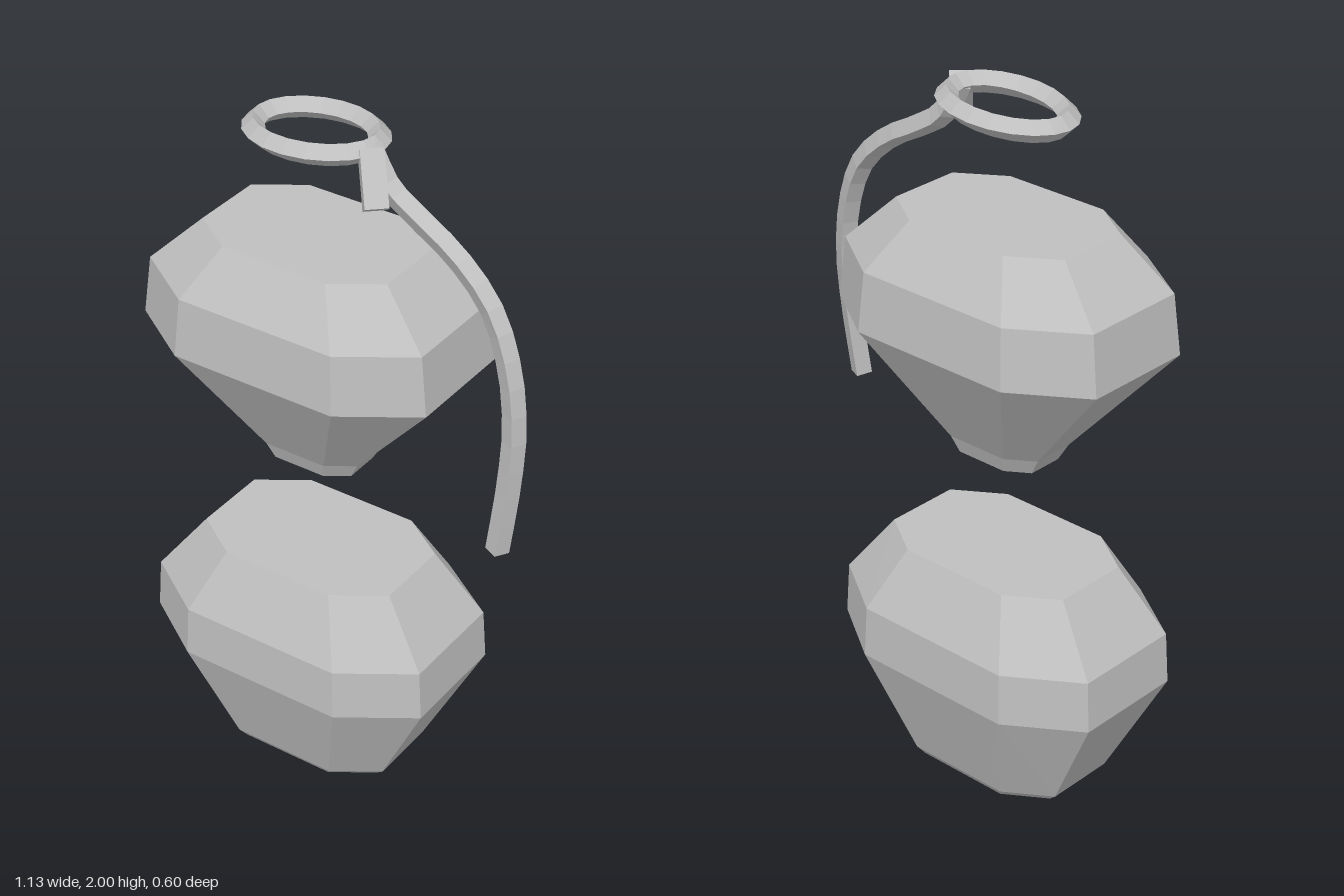
import * as THREE from 'three';

const metal = new THREE.MeshStandardMaterial({ color: 0xbfbfbf, flatShading: true });
metal.name = 'plain grey';

// Skin a list of equal-length point loops; either cap both ends or join them.
function loft(name, loops, closed = false) {
  const n = loops[0].length, m = loops.length, index = [];
  for (let i = 0; i < (closed ? m : m - 1); i++) {
    const p = i * n, q = ((i + 1) % m) * n;
    for (let j = 0; j < n; j++) {
      const k = (j + 1) % n;
      index.push(p + j, q + j, q + k, p + j, q + k, p + k);
    }
  }
  if (!closed) {
    const e = (m - 1) * n;
    for (let j = 1; j < n - 1; j++) index.push(0, j, j + 1, e, e + j + 1, e + j);
  }
  let geo = new THREE.BufferGeometry();
  geo.setAttribute('position', new THREE.Float32BufferAttribute(loops.flat().flatMap(v => v.toArray()), 3));
  geo.setIndex(index);
  geo = geo.toNonIndexed();
  geo.computeVertexNormals();
  const mesh = new THREE.Mesh(geo, metal);
  mesh.name = name;
  return mesh;
}

// Stretched octagon loops, each level given as [y, half width, half depth].
const CX = -0.11;
function facetedBody(name, levels) {
  return loft(name, levels.map(([y, w, d]) => {
    const a = w * 0.553, b = d * 0.555;
    return [[w, -b], [w, b], [a, d], [-a, d], [-w, b], [-w, -b], [-a, -d], [a, -d]]
      .map(([x, z]) => new THREE.Vector3(CX + x, y, z));
  }));
}

// Four-sided section in the plane of u and v.
function square(c, u, v, r, turn) {
  return [0, 1, 2, 3].map(k => {
    const a = turn + k * Math.PI / 2;
    return c.clone().addScaledVector(u, r * Math.cos(a)).addScaledVector(v, r * Math.sin(a));
  });
}

export function createModel() {
  const g = new THREE.Group();
  g.name = 'splitCanister';

  // Body halves
  g.add(facetedBody('lowerBody', [
    [0, 0.26, 0.172], [0.025, 0.287, 0.19], [0.35, 0.452, 0.3], [0.5, 0.443, 0.294], [0.68, 0.31, 0.205]]));
  g.add(facetedBody('upperBody', [
    [0.975, 0.142, 0.094], [1.025, 0.17, 0.113], [1.35, 0.45, 0.298], [1.52, 0.43, 0.285], [1.66, 0.29, 0.193]]));

  // Oval pull ring, tipped slightly up on the right
  const loops = [];
  for (let i = 0; i < 20; i++) {
    const t = i / 20 * Math.PI * 2;
    const u = new THREE.Vector3(Math.cos(t), 0, Math.sin(t));
    const c = new THREE.Vector3(0.178 * u.x, 0.01 * u.x, 0.12 * u.z);
    loops.push(square(c, u, new THREE.Vector3(0, -1, 0), 0.031, 0));
  }
  const ring = loft('pullRing', loops, true);
  ring.position.set(CX, 1.959, 0);
  g.add(ring);

  // Curved lever
  const path = new THREE.CatmullRomCurve3([
    [0.06, 1.975, 0.01], [0.12, 1.875, 0.01], [0.2, 1.82, 0.012], [0.33, 1.745, 0.02], [0.44, 1.64, 0.03],
    [0.505, 1.5, 0.043], [0.535, 1.33, 0.055], [0.533, 1.15, 0.07], [0.518, 0.957, 0.088],
  ].map(p => new THREE.Vector3(...p)));
  const sections = [];
  for (let i = 0; i <= 18; i++) {
    const t = path.getTangent(i / 18);
    const u = t.clone().cross(new THREE.Vector3(0, 0, 1)).normalize();
    const v = u.clone().cross(t).normalize();
    sections.push(square(path.getPoint(i / 18), u, v, 0.032, THREE.MathUtils.degToRad(20)));
  }
  g.add(loft('lever', sections));

  // Slanted pin block beside the ring
  const axis = new THREE.Vector3(0.06, -0.125, 0.065).normalize();
  const side = new THREE.Vector3(0.065, 0, -0.06).normalize();
  const pin = new THREE.Mesh(new THREE.BoxGeometry(0.062, 0.15, 0.045), metal);
  pin.name = 'pinBlock';
  pin.quaternion.setFromRotationMatrix(
    new THREE.Matrix4().makeBasis(side, axis, side.clone().cross(axis)));
  pin.position.set(0.107, 1.915, 0.063);
  g.add(pin);

  return g;
}
